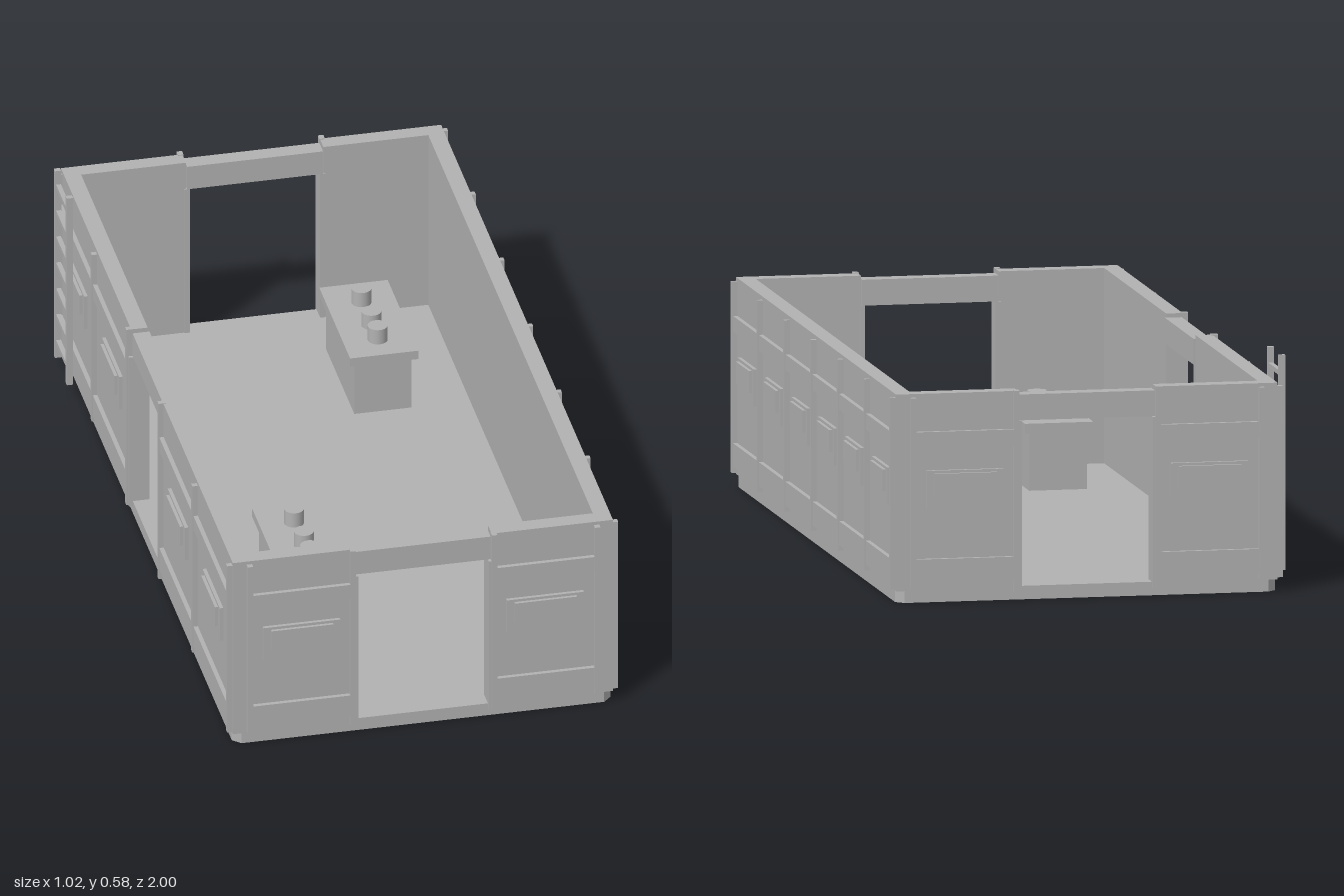
import * as THREE from 'three';

const CX = 0.007;          // hull centre in x
const HX = 0.484, HZ = 0.982; // hull half sizes
const T = 0.042;           // wall thickness
const TOP = 0.525;

export function createModel() {
  const model = new THREE.Group();
  model.name = 'openCabin';
  const grey = new THREE.MeshStandardMaterial({ color: 0xb2b2b2 });
  grey.name = 'plainGrey';

  // box given by its minimum and maximum corners
  function box(parent, name, x0, x1, y0, y1, z0, z1) {
    const mesh = new THREE.Mesh(new THREE.BoxGeometry(x1 - x0, y1 - y0, z1 - z0), grey);
    mesh.position.set((x0 + x1) / 2, (y0 + y1) / 2, (z0 + z1) / 2);
    mesh.name = name;
    parent.add(mesh);
    return mesh;
  }

  // wall frame: local x runs along the wall, local z = 0 is its outer face
  function wall(name, angle, x, z) {
    const g = new THREE.Group();
    g.name = name;
    g.rotation.y = angle;
    g.position.set(x, 0, z);
    model.add(g);
    return g;
  }
  const slab = (g, a, b) => box(g, 'wallPanel', a, b, 0.03, TOP, -T, 0);
  const bands = (g, a, b) => {
    box(g, 'upperBand', a, b, 0.39, 0.43, -0.005, 0.011);
    box(g, 'lowerBand', a, b, 0.05, 0.11, -0.005, 0.011);
  };
  const post = (g, c) => box(g, 'wallPost', c - 0.007, c + 0.007, 0.035, 0.516, -0.005, 0.014);
  const shutter = (g, c) => {
    box(g, 'windowFrame', c - 0.098, c + 0.098, 0.238, 0.332, -0.005, 0.009);
    box(g, 'windowShutter', c - 0.079, c + 0.079, 0.27, 0.325, 0, 0.017);
  };
  const doorway = (g, a, b) => {
    box(g, 'lintel', a, b, 0.45, 0.515, -T - 0.004, -0.003);
    for (const [c, s] of [[a, -1], [b, 1]]) {
      box(g, 'doorJamb', c - 0.007, c + 0.007, 0.02, 0.45, -T - 0.003, 0.008);
      box(g, 'doorPost', c + s * 0.007 - 0.007, c + s * 0.007 + 0.007, 0.02, 0.527, -0.005, 0.013);
    }
  };

  // floor plate with clipped corners
  const c = 0.02, w = HX - 0.002, d = HZ - 0.002;
  const outline = new THREE.Shape([
    [-w + c, -d], [w - c, -d], [w, -d + c], [w, d - c],
    [w - c, d], [-w + c, d], [-w, d - c], [-w, -d + c],
  ].map(([x, y]) => new THREE.Vector2(x, y)));
  const floor = new THREE.Mesh(new THREE.ExtrudeGeometry(outline, { depth: 0.034, bevelEnabled: false }), grey);
  floor.rotation.x = -Math.PI / 2;
  floor.position.x = CX;
  floor.name = 'floor';
  model.add(floor);

  // end walls, each with a central doorway
  for (const s of [1, -1]) {
    const g = wall(s > 0 ? 'frontWall' : 'backWall', s > 0 ? 0 : Math.PI, CX, s * HZ);
    for (const m of [-1, 1]) {
      const a = Math.min(m * 0.175, m * HX), b = Math.max(m * 0.175, m * HX);
      slab(g, a, b);
      bands(g, Math.min(m * 0.18, m * 0.44), Math.max(m * 0.18, m * 0.44));
      post(g, m * 0.442);
      shutter(g, m * 0.31);
    }
    doorway(g, -0.173, 0.173);
  }

  // left wall: six closed bays
  const left = wall('leftWall', Math.PI / 2, CX + HX, 0);
  slab(left, -HZ, HZ);
  bands(left, -0.97, 0.97);
  for (let i = 0; i < 6; i++) {
    shutter(left, -0.82 + i * 0.328);
    if (i) post(left, -0.82 + (i - 0.5) * 0.328);
  }
  post(left, -0.972);
  post(left, 0.972);

  // right wall: two bays on each side of a doorway
  const right = wall('rightWall', -Math.PI / 2, CX - HX, 0);
  for (const m of [-1, 1]) {
    slab(right, m < 0 ? -HZ : 0.18, m < 0 ? -0.18 : HZ);
    bands(right, m < 0 ? -0.97 : 0.185, m < 0 ? -0.185 : 0.97);
    shutter(right, m * 0.375);
    shutter(right, m * 0.775);
    post(right, m * 0.575);
    post(right, m * 0.972);
  }
  doorway(right, -0.177, 0.177);

  // ladder
  const ladder = new THREE.Group();
  ladder.name = 'ladder';
  model.add(ladder);
  for (const z of [-0.887, -0.751]) box(ladder, 'ladderRail', -0.515, -0.499, 0.04, 0.58, z - 0.007, z + 0.007);
  for (let i = 0; i < 7; i++) {
    const y = 0.085 + i * 0.075;
    box(ladder, 'ladderRung', -0.512, -0.5, y - 0.006, y + 0.006, -0.885, -0.753);
  }

  // two consoles with round knobs
  function console_(name, x, z, knobs) {
    const g = new THREE.Group();
    g.name = name;
    g.position.set(x, 0, z);
    model.add(g);
    box(g, 'consoleTop', -0.087, 0.087, 0.22, 0.244, -0.176, 0.176);
    box(g, 'consoleBody', -0.073, 0.073, 0.073, 0.22, -0.161, 0.161);
    for (const k of knobs) {
      const knob = new THREE.Mesh(new THREE.CylinderGeometry(0.025, 0.025, 0.042, 24), grey);
      knob.position.set(0, 0.264, k - z);
      knob.name = 'knob';
      g.add(knob);
    }
  }
  console_('rearConsole', 0.213, -0.56, [-0.645, -0.532, -0.46]);
  console_('frontConsole', -0.183, 0.45, [0.362, 0.474, 0.546]);

  return model;
}
